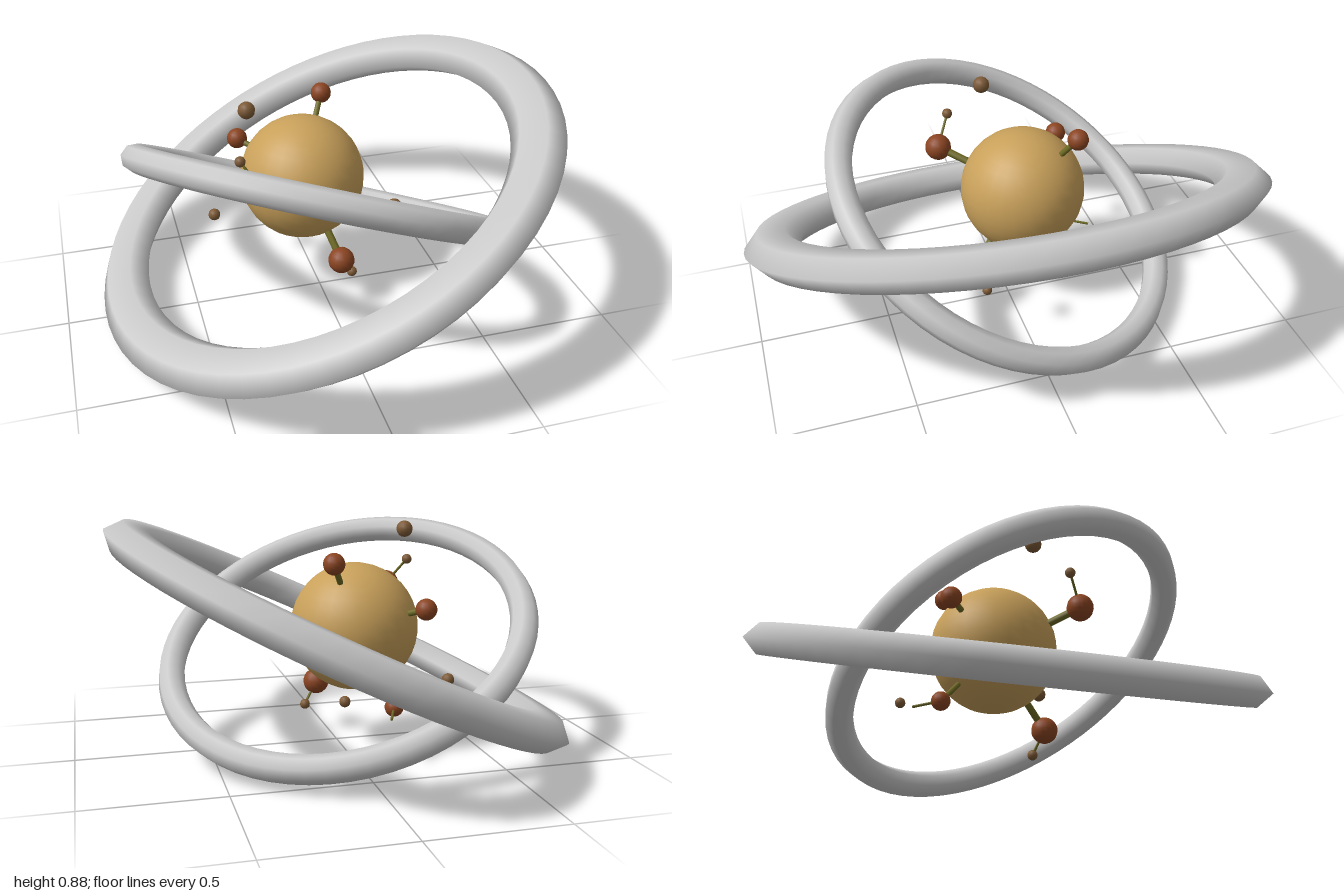
import * as THREE from 'three';

const material = (color) => new THREE.MeshStandardMaterial({ color });
const V = (p) => new THREE.Vector3(...p);

export function createModel() {
  const model = new THREE.Group();
  const grey = material(0xcccccc);
  const tan = material(0xc8a05a);
  const rust = material(0x8b4522);
  const brown = material(0x7d5a36);
  const olive = material(0x6e6a24);

  function add(name, geometry, mat, position) {
    const mesh = new THREE.Mesh(geometry, mat);
    mesh.name = name;
    mesh.position.copy(position);
    model.add(mesh);
    return mesh;
  }

  function ball(name, p, radius, mat, segments = 16) {
    return add(name, new THREE.SphereGeometry(radius, segments, Math.round(segments * 0.67)), mat, V(p));
  }

  // Rod between two points
  function rod(name, a, b, radius) {
    const dir = b.clone().sub(a);
    const mesh = add(name, new THREE.CylinderGeometry(radius, radius, dir.length(), 8), olive,
      a.clone().add(b).multiplyScalar(0.5));
    mesh.quaternion.setFromUnitVectors(new THREE.Vector3(0, 1, 0), dir.normalize());
  }

  // Flattened six-sided outer ring, tilted sideways
  const outer = new THREE.TorusGeometry(0.895, 0.105, 6, 64);
  outer.rotateX(Math.PI / 2).scale(0.95, 0.635, 1);
  add('outerRing', outer, grey, V([0, 0.44, 0])).rotation.z = 0.443;

  // Thinner inner ring, tilted the other way
  const inner = new THREE.TorusGeometry(0.689, 0.052, 8, 64);
  inner.rotateX(Math.PI / 2);
  add('innerRing', inner, grey, V([-0.027, 0.427, -0.004])).quaternion
    .setFromUnitVectors(new THREE.Vector3(0, 1, 0), V([0.32, 0.865, -0.39]).normalize());

  // Central globe
  const core = [-0.05, 0.47, -0.075];
  const coreRadius = 0.241;
  ball('coreGlobe', core, coreRadius, tan, 28);

  // Knobs on stalks; some carry a thin twig, with or without a bud at its tip
  const knobs = [
    { at: [-0.263, 0.583, 0.205], r: 0.051, twig: [-0.332, 0.686, 0.147], bud: true },
    { at: [0.046, 0.203, 0.15], r: 0.051, twig: [0.1, 0.119, 0.117], bud: true },
    { at: [-0.142, 0.203, -0.289], r: 0.035, twig: [-0.102, 0.187, -0.384] },
    { at: [0.074, 0.733, -0.248], r: 0.04 },
    { at: [-0.262, 0.56, -0.284], r: 0.04 },
  ];
  for (const k of knobs) {
    const knob = V(k.at), center = V(core);
    const root = knob.clone().sub(center).setLength(coreRadius * 0.95).add(center);
    rod('stalk', root, knob, k.r * 0.28);
    ball('knob', k.at, k.r, rust);
    if (k.twig) rod('twig', knob, V(k.twig), 0.005);
    if (k.bud) ball('bud', k.twig, 0.02, brown, 12);
  }

  // Free-floating beads
  const beads = [
    [[-0.278, 0.822, 0.021], 0.032],
    [[0.239, 0.437, 0.186], 0.028],
    [[-0.383, 0.27, -0.206], 0.024],
    [[0.077, 0.273, -0.405], 0.02],
  ];
  for (const [p, r] of beads) ball('floatingBead', p, r, brown, 12);

  return model;
}
